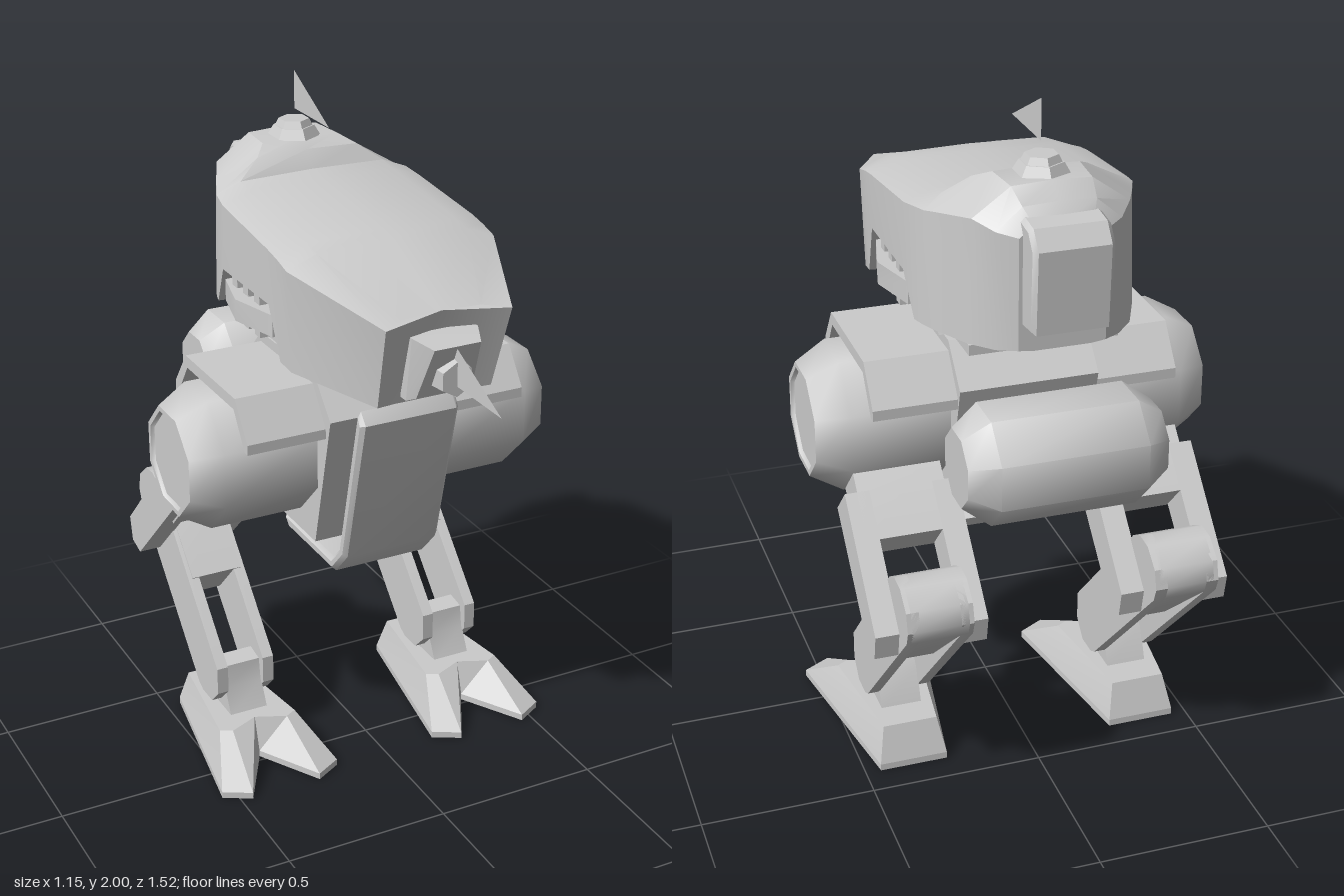
import * as THREE from 'three';
import { toCreasedNormals } from 'three/addons/utils/BufferGeometryUtils.js';

const mat = new THREE.MeshStandardMaterial({ color: 0xcccccc });
const thinMat = new THREE.MeshStandardMaterial({ color: 0xcccccc, side: THREE.DoubleSide });

function add(parent, name, geo, x = 0, y = 0, z = 0, crease = 0.6) {
  const mesh = new THREE.Mesh(toCreasedNormals(geo, crease), mat);
  mesh.name = name;
  mesh.position.set(x, y, z);
  parent.add(mesh);
  return mesh;
}

const box = (w, h, d) => new THREE.BoxGeometry(w, h, d);

// Side profile of [z, y] points, extruded across x and centred on x = 0
function slab(points, width, bevel = 0) {
  const shape = new THREE.Shape(points.map(([z, y]) => new THREE.Vector2(z, y)));
  const depth = width - 2 * bevel;
  return new THREE.ExtrudeGeometry(shape, {
    depth, bevelEnabled: bevel > 0, bevelThickness: bevel, bevelSize: bevel,
    bevelOffset: -bevel, bevelSegments: 1,
  }).translate(0, 0, -depth / 2).rotateY(-Math.PI / 2);
}

// Turned shape with flat-topped sides, lying along x; profile is [radius, x]
function drum(profile, sides = 8) {
  const k = 1 / Math.cos(Math.PI / sides);
  return new THREE.LatheGeometry(profile.map(([r, x]) => new THREE.Vector2(r * k, x)), sides)
    .rotateY(Math.PI / sides).rotateZ(-Math.PI / 2);
}

// Closed skin through rings of [x, y, z] points, capped at both ends
function loft(rings) {
  const n = rings[0].length, pts = rings.flat(), idx = [];
  for (let r = 0; r < rings.length - 1; r++) {
    for (let i = 0; i < n; i++) {
      const a = r * n + i, b = r * n + (i + 1) % n;
      idx.push(a, b, b + n, a, b + n, a + n);
    }
  }
  const last = (rings.length - 1) * n;
  for (let i = 1; i < n - 1; i++) idx.push(0, i + 1, i, last, last + i, last + i + 1);
  // Turn the skin outward if the enclosed volume is negative
  const v = pts.map(p => new THREE.Vector3(...p));
  let volume = 0;
  for (let i = 0; i < idx.length; i += 3) {
    volume += v[idx[i]].dot(new THREE.Vector3().crossVectors(v[idx[i + 1]], v[idx[i + 2]]));
  }
  if (volume < 0) idx.reverse();
  const geo = new THREE.BufferGeometry().setFromPoints(v);
  geo.setIndex(idx);
  return geo;
}

// Head cross-section: roof edge, shoulder and sill, mirrored; the last two values lean the front
function headRing([z, roofX, roofY, sideX, sideY, sillX, sillY, lead = 0, lag = 0]) {
  const half = [
    [roofX, roofY, z], [sideX, sideY, z + lead],
    [sillX, sillY, z - lag], [sillX * .66, sillY - .005, z - lag * 1.5],
  ];
  return [[0, roofY + .005, z], ...half, ...half.map(([x, y, w]) => [-x, y, w]).reverse()];
}

function buildHead() {
  const head = new THREE.Group();
  head.name = 'head';

  // Shell from nose to back, with an arch in the sill and a step in the roof
  const sections = [
    [.44, .12, 1.56, .19, 1.555, .175, 1.305, .045, .03],
    [.16, .23, 1.67, .32, 1.635, .31, 1.34],
    [.1, .23, 1.68, .32, 1.65, .315, 1.35],
    [.04, .23, 1.69, .32, 1.66, .32, 1.5],
    [-.27, .23, 1.72, .315, 1.69, .32, 1.5],
    [-.335, .23, 1.73, .305, 1.7, .31, 1.38],
    [-.37, .16, 1.78, .29, 1.7, .3, 1.38],
    [-.42, .12, 1.805, .27, 1.71, .28, 1.38],
    [-.54, .11, 1.805, .215, 1.73, .225, 1.385],
    [-.6, .1, 1.77, .17, 1.71, .17, 1.385],
    [-.635, .08, 1.73, .12, 1.7, .12, 1.39],
  ];
  add(head, 'headShell', loft(sections.map(headRing)), 0, 0, 0, .5);

  // Core inside the side arches, with bulging side vents and ribs
  add(head, 'headCore', slab([[.1, 1.335], [.06, 1.43], [.03, 1.5], [-.27, 1.5], [-.3, 1.43], [-.36, 1.335]], .5));
  add(head, 'neckPlate', box(.42, .03, .56), 0, 1.345, -.22);
  for (const s of [1, -1]) {
    add(head, 'sideVent', loft([1.4, 1.465].map(y =>
      [[s * .25, y, .04], [s * .31, y, .04], [s * .35, y, -.12], [s * .31, y, -.28], [s * .25, y, -.28]])));
    for (const z of [-.05, -.125, -.2]) {
      for (const y of [1.483, 1.385]) add(head, 'ventRib', box(.06, .025, .035), s * .285, y, z);
    }
  }

  // Rear pack and roof cap
  add(head, 'rearPack', slab([[-.6, 1.75], [-.68, 1.74], [-.72, 1.69], [-.71, 1.46], [-.6, 1.45]], .22, .012));
  add(head, 'roofCapBase', new THREE.CylinderGeometry(.06, .078, .03, 6), 0, 1.82, -.46);
  add(head, 'roofCap', new THREE.CylinderGeometry(.045, .058, .025, 6), 0, 1.842, -.46);

  // Nose turret
  add(head, 'noseTurret', loft([
    [[-.1, 1.51, .4], [.1, 1.51, .4], [.1, 1.32, .36], [-.1, 1.32, .36]],
    [[-.1, 1.51, .46], [.1, 1.51, .46], [.1, 1.32, .43], [-.1, 1.32, .43]],
    [[-.07, 1.495, .53], [.07, 1.495, .53], [.085, 1.335, .46], [-.085, 1.335, .46]],
  ]), 0, 0, 0, .3);
  add(head, 'muzzle', new THREE.CylinderGeometry(.05, .06, .1, 6).rotateX(Math.PI / 2), 0, 1.4, .48);

  // Flat fins on the centre line
  const fins = [[[.76, 1.38], [.52, 1.49], [.48, 1.38]], [[-.225, 1.885], [-.455, 2], [-.455, 1.885]]];
  for (const fin of fins) {
    const geo = new THREE.ShapeGeometry(new THREE.Shape(fin.map(p => new THREE.Vector2(...p))));
    const mesh = new THREE.Mesh(geo.rotateY(-Math.PI / 2), thinMat);
    mesh.name = 'fin';
    head.add(mesh);
  }
  return head;
}

function buildBody() {
  const body = new THREE.Group();
  body.name = 'body';
  add(body, 'neck', new THREE.CylinderGeometry(.18, .18, .12, 16), 0, 1.3, -.11);
  add(body, 'torso', slab([[.075, 1.28], [.175, 1.17], [.07, .75], [-.28, .75], [-.42, .86],
    [-.42, .95], [-.35, 1.03], [-.39, 1.17], [-.285, 1.28]], .4));

  // Bent front shield and its mounts
  add(body, 'frontShield', slab([[.25, 1.225], [.28, 1.19], [.165, .73], [.09, .65], [-.215, .65],
    [-.245, .69], [.075, .69], [.125, .74]], .31, .012));
  add(body, 'shieldMount', box(.14, .07, .12), 0, .955, .15);
  add(body, 'shieldPost', box(.1, .08, .06), 0, .72, -.04);

  // Shoulder drums with bent covers
  for (const s of [1, -1]) {
    const pod = add(body, 'shoulderDrum', drum([[0, -.2], [.198, -.2], [.198, .1], [.15, .19],
      [.135, .19], [.128, .18], [0, .18]]), s * .385, 1.015, -.108, .9);
    if (s < 0) pod.rotation.y = Math.PI;
    add(body, 'shoulderCover', slab([[.145, 1.11], [.145, 1.14], [.065, 1.25], [-.285, 1.25], [-.37, 1.14],
      [-.37, 1.11], [-.35, 1.11], [-.275, 1.215], [.055, 1.215], [.125, 1.11]], .25), s * .315);
  }

  // Rear tank and arm
  add(body, 'rearTank', drum([[0, -.28], [.1, -.28], [.153, -.205], [.153, .205], [.1, .28], [0, .28]]), 0, 1.063, -.608, .9);
  add(body, 'tankArm', new THREE.CylinderGeometry(.042, .042, .2, 10).rotateX(Math.PI / 2), 0, 1.07, -.4);
  return body;
}

function buildLeg(side) {
  const leg = new THREE.Group();
  leg.name = side > 0 ? 'leftLeg' : 'rightLeg';
  leg.position.x = side * .355;

  // Forked thigh
  add(leg, 'thigh', slab([[-.11, 1.0], [-.25, .96], [-.43, .78], [-.34, .685], [-.07, .95]], .25));
  for (const s of [1, -1]) {
    add(leg, 'thighProng', slab([[-.33, .88], [-.62, .59], [-.605, .515], [-.545, .5], [-.24, .79]], .07), s * .125);
  }
  add(leg, 'kneePin', drum([[0, -.15], [.04, -.15], [.04, .15], [0, .15]]), 0, .575, -.565);

  // Shin: solid upper block, then two side plates leaving a slot
  const knee = [[-.53, .72], [-.58, .745], [-.635, .74], [-.69, .695], [-.705, .64], [-.69, .6]];
  add(leg, 'shinBlock', slab([[-.31, .5], ...knee, [-.43, .38]], .16), 0, 0, 0, .9);
  for (const s of [1, -1]) {
    add(leg, 'shinPlate', slab([[-.11, .285], ...knee, [-.26, .165], [-.23, .15], [-.16, .15], [-.11, .2]], .035), s * .0755);
  }

  // Ankle and two-toed foot
  add(leg, 'ankle', slab([[-.09, .12], [-.13, .2], [-.14, .27], [-.2, .28], [-.25, .22], [-.29, .12]], .12));
  const sole = [[0, -.02], [.11, .175], [.19, .13], [.1, -.415], [-.1, -.415], [-.19, .13], [-.11, .175]];
  const top = [[0, -.05], [.09, -.01], [.125, -.03], [.08, -.38], [-.08, -.38], [-.125, -.03], [-.09, -.01]];
  const level = (outline, y) => outline.map(([x, z]) => [x, y, z]);
  add(leg, 'foot', loft([level(sole, 0), level(sole, .02), level(top, .125)]), 0, 0, 0, .2);
  return leg;
}

export function createModel() {
  const model = new THREE.Group();
  model.name = 'walker';
  model.add(buildHead(), buildBody(), buildLeg(1), buildLeg(-1));
  return model;
}
